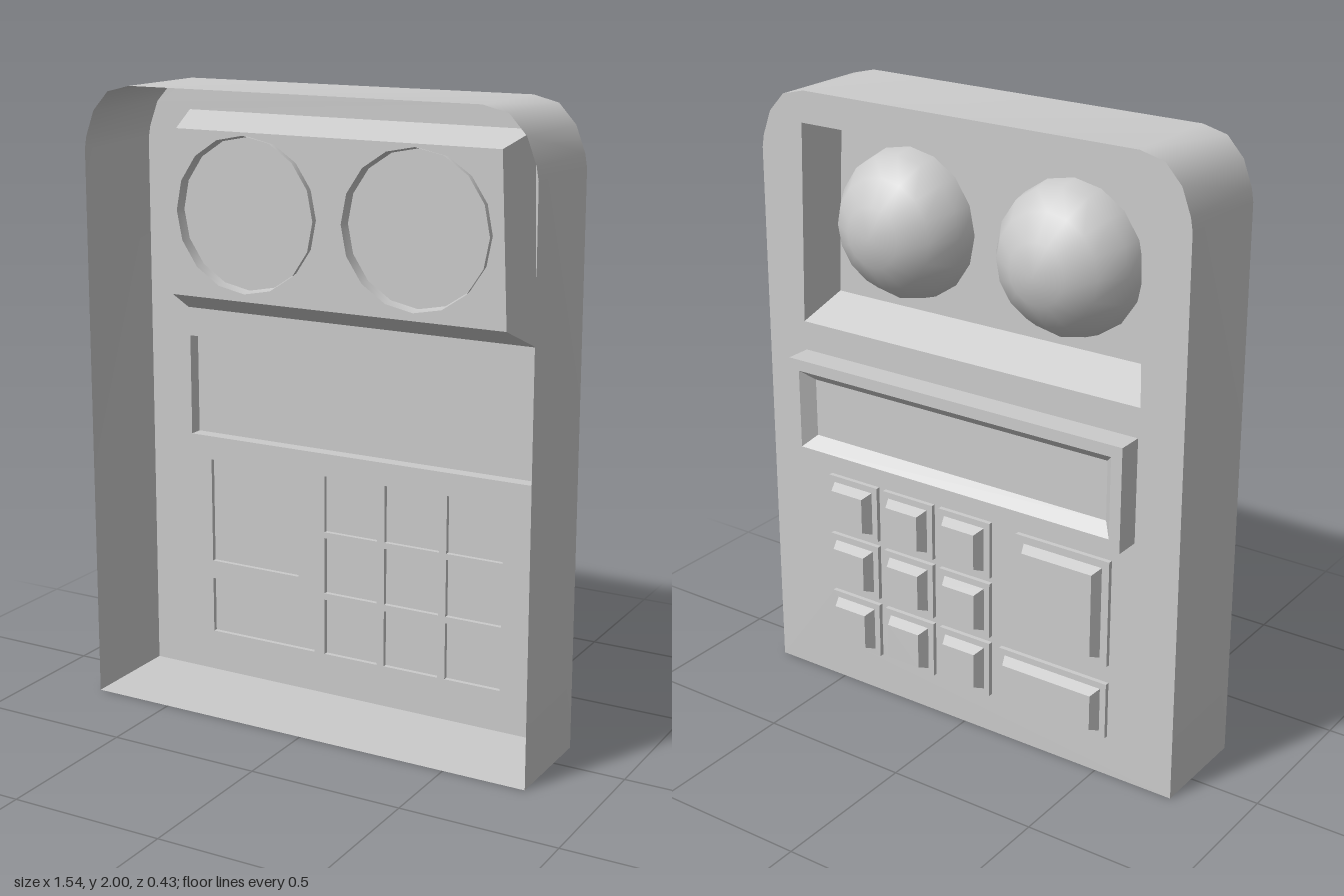
import * as THREE from 'three';
import { toCreasedNormals } from 'three/addons/utils/BufferGeometryUtils.js';

const material = new THREE.MeshStandardMaterial({ color: 0xcccccc, side: THREE.DoubleSide });
const FACE = -0.13;   // depth of the panel
const OPEN = 0.215;   // open edge of the shell
const KEY_BASE = -0.145;
const KEY_TOP = -0.18;

const rect = (x0, y0, x1, y1) => [[x0, y0], [x1, y0], [x1, y1], [x0, y1]];

// Moves every edge of a right-angled, counter-clockwise outline inwards by d
function inset(points, d) {
  const n = points.length;
  const normal = (a, b) => {
    const length = Math.hypot(b[0] - a[0], b[1] - a[1]);
    return [-(b[1] - a[1]) / length, (b[0] - a[0]) / length];
  };
  return points.map((p, i) => {
    const u = normal(points[(i + n - 1) % n], p);
    const v = normal(p, points[(i + 1) % n]);
    return [p[0] + d * (u[0] + v[0]), p[1] + d * (u[1] + v[1])];
  });
}

function addMesh(group, name, geometry) {
  const mesh = new THREE.Mesh(geometry, material);
  mesh.name = name;
  group.add(mesh);
  return mesh;
}

// Wall joining two outlines that lie at two depths
function wall(group, name, a, za, b, zb) {
  const position = [];
  a.forEach((p, i) => {
    const j = (i + 1) % a.length;
    const a0 = [...p, za], a1 = [...a[j], za];
    const b0 = [...b[i], zb], b1 = [...b[j], zb];
    position.push(...a0, ...b0, ...a1, ...a1, ...b0, ...b1);
  });
  const geometry = new THREE.BufferGeometry();
  geometry.setAttribute('position', new THREE.Float32BufferAttribute(position, 3));
  return addMesh(group, name, toCreasedNormals(geometry, 0.7));
}

// Flat sheet with optional holes
function plate(group, name, outline, z, holes = []) {
  const vectors = (points) => points.map(([x, y]) => new THREE.Vector2(x, y));
  const shape = new THREE.Shape(vectors(outline));
  shape.holes = holes.map((hole) => new THREE.Path(vectors(hole)));
  return addMesh(group, name, new THREE.ShapeGeometry(shape).translate(0, 0, z));
}

// Shallow base with a tapered cap on it
function key(name, base, cap) {
  const group = new THREE.Group();
  group.name = name;
  const top = inset(cap, 0.015);
  wall(group, 'keyBaseSides', base, FACE, base, KEY_BASE);
  plate(group, 'keyBasePlate', base, KEY_BASE);
  wall(group, 'keyCapSides', cap, KEY_BASE, top, KEY_TOP);
  plate(group, 'keyCapTop', top, KEY_TOP);
  return group;
}

export function createModel() {
  const model = new THREE.Group();
  model.name = 'keypadPanel';

  // Outlines of the shell, the lamp recess and the display
  const side = [[0.77, 0], [0.762, 1.8], [0.755, 1.84], [0.725, 1.92], [0.67, 1.98], [0.59, 2]];
  const shell = [...side, ...side.map(([x, y]) => [-x, y]).reverse()];
  const recessEdge = [[-0.62, 1.255], [0.62, 1.255], [0.6, 1.9], [-0.6, 1.9]];
  const recessFloor = [[-0.585, 1.325], [0.585, 1.325], [0.56, 1.855], [-0.56, 1.855]];
  const frame = rect(-0.615, 0.825, 0.615, 1.16);
  const opening = inset(frame, 0.037);
  const screen = inset(frame, 0.072);

  // Keys: a square grid, one L-shaped key and one wide key
  const keys = [];
  for (const y of [0.655, 0.445, 0.233]) {
    for (const x of [-0.01, 0.21, 0.43]) {
      const base = rect(x - 0.097, y - 0.095, x + 0.097, y + 0.095);
      keys.push(['squareKey', base, inset(base, 0.021)]);
    }
  }
  const bend = [[-0.515, 0.415], [-0.36, 0.415], [-0.36, 0.585], [-0.235, 0.585], [-0.235, 0.72], [-0.515, 0.72]];
  keys.push(['bentKey', rect(-0.54, 0.39, -0.205, 0.745), bend]);
  const wide = rect(-0.54, 0.138, -0.145, 0.328);
  keys.push(['wideKey', wide, inset(wide, 0.021)]);

  // Shell, open on one side, and its panel
  wall(model, 'shellWall', shell, OPEN, shell, FACE);
  plate(model, 'panel', shell, FACE, [recessEdge, frame, ...keys.map((k) => k[1])]);

  // Sunken tray with two domed lamps
  wall(model, 'recessWall', recessEdge, FACE, recessFloor, 0.01);
  plate(model, 'recessFloor', recessFloor, 0.01);
  for (const x of [-0.295, 0.295]) {
    const dome = new THREE.SphereGeometry(0.246, 16, 4, 0, Math.PI * 2, 0, Math.PI / 2);
    dome.rotateX(-Math.PI / 2);
    addMesh(model, 'lampDome', dome).position.set(x, 1.603, 0.043);
  }

  // Raised display frame
  wall(model, 'displayOuterWall', frame, FACE, frame, -OPEN);
  plate(model, 'displayRim', frame, -OPEN, [opening]);
  wall(model, 'displayInnerWall', opening, -OPEN, screen, -0.175);
  plate(model, 'displayScreen', frame, -0.175);

  keys.forEach((k) => model.add(key(...k)));
  return model;
}
